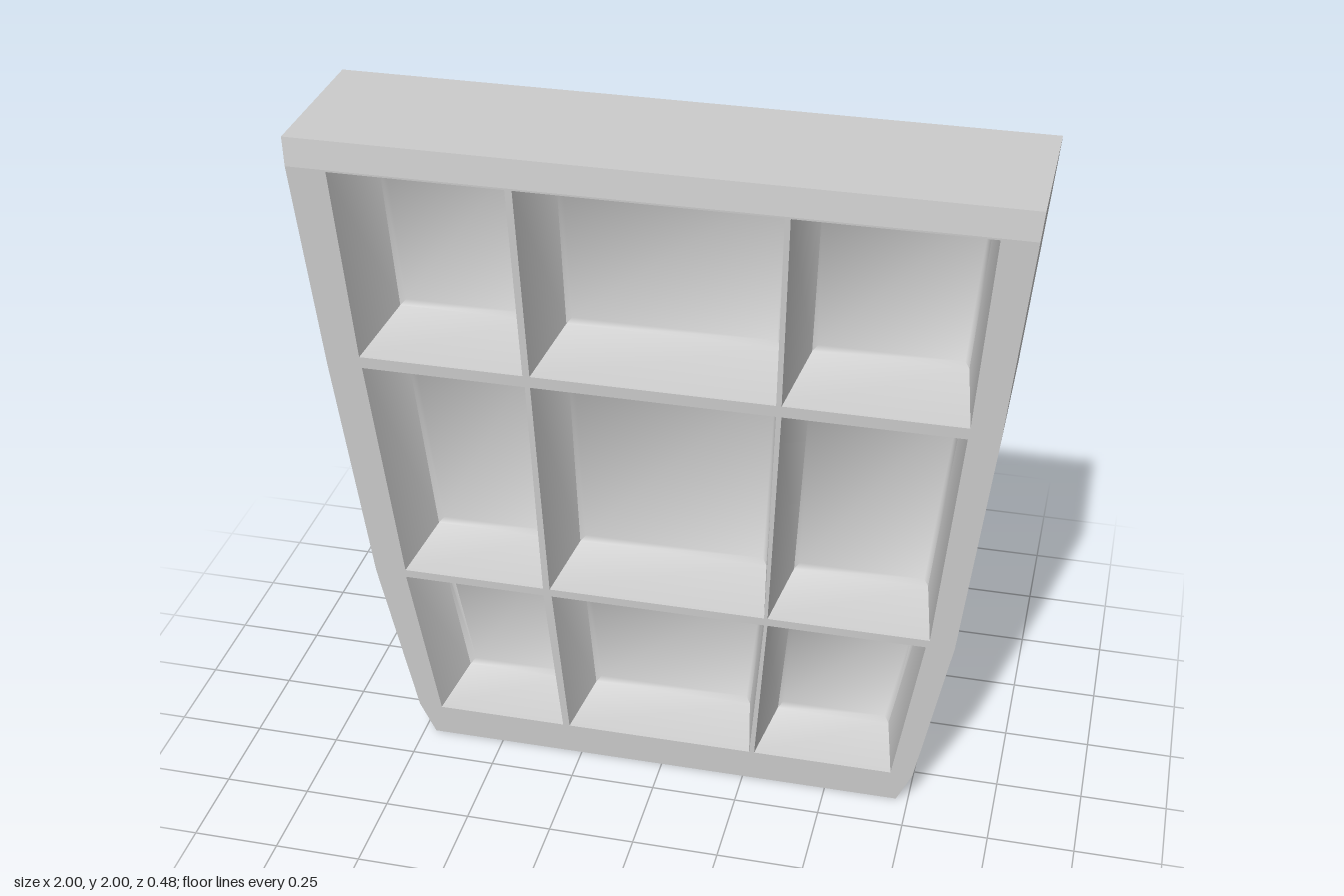
import * as THREE from 'three';
import { toCreasedNormals } from 'three/addons/utils/BufferGeometryUtils.js';

const BACK_Z = -0.24, FLOOR_Z = -0.06, BEND_Y = 1.92;

// The front face leans forward up to the bend, then back slightly.
const frontZ = (y) => y <= BEND_Y
  ? 0.135 + (0.105 * y) / BEND_Y
  : 0.24 - (0.01 * (y - BEND_Y)) / (2 - BEND_Y);

// Right half of the outline from bottom to top, mirrored for the left half.
const half = [[0.715, 0], [0.76, 0.1], [0.857, 0.6], [0.937, 1.31], [0.993, BEND_Y], [1, 2]];
const mirrored = (pts) => [...pts, ...pts.map(([x, y]) => [-x, y]).reverse()];

// Rows of compartments; x holds left/right pairs per column, along top and bottom edges.
const rows = [
  { top: 1.915, bottom: 1.345,
    topX: [-0.88, -0.39, -0.37, 0.35, 0.365, 0.895],
    bottomX: [-0.84, -0.37, -0.35, 0.335, 0.35, 0.855] },
  { top: 1.31, bottom: 0.615,
    topX: [-0.835, -0.365, -0.35, 0.335, 0.35, 0.85],
    bottomX: [-0.765, -0.345, -0.325, 0.31, 0.32, 0.785] },
  { top: 0.59, bottom: 0.1,
    topX: [-0.765, -0.345, -0.32, 0.31, 0.32, 0.775],
    bottomX: [-0.69, -0.305, -0.285, 0.27, 0.285, 0.695] },
];

const toShape = (pts) => new THREE.Shape(pts.map(([x, y]) => new THREE.Vector2(x, y)));

function quads(list) {
  const pos = [];
  for (const [a, b, c, d] of list) pos.push(...a, ...b, ...c, ...a, ...c, ...d);
  const geo = new THREE.BufferGeometry();
  geo.setAttribute('position', new THREE.Float32BufferAttribute(pos, 3));
  geo.computeVertexNormals();
  return geo;
}

// Quads joining two closed rings of equal length.
const band = (a, b) => a.map((p, i) => {
  const j = (i + 1) % a.length;
  return [p, a[j], b[j], b[i]];
});

// Flat shape bent onto the leaning front face.
function frontPanel(shape) {
  const geo = new THREE.ShapeGeometry(shape);
  const p = geo.attributes.position;
  for (let i = 0; i < p.count; i++) p.setZ(i, frontZ(p.getY(i)));
  geo.computeVertexNormals();
  return geo;
}

export function createModel() {
  const group = new THREE.Group();
  const material = new THREE.MeshStandardMaterial({ color: 0xcccccc });
  const add = (name, geo, parent = group) => {
    const mesh = new THREE.Mesh(geo, material);
    mesh.name = name;
    parent.add(mesh);
    return mesh;
  };

  // Compartment openings, corners counter-clockwise from bottom left
  const openings = rows.flatMap(({ top, bottom, topX, bottomX }) => [0, 2, 4].map((c) => [
    [bottomX[c], bottom], [bottomX[c + 1], bottom], [topX[c + 1], top], [topX[c], top],
  ]));

  // Front frame with nine openings, and the strip above the bend
  const face = toShape(mirrored(half.slice(0, 5)));
  face.holes = openings.map((o) => new THREE.Path(
    [...o].reverse().map(([x, y]) => new THREE.Vector2(x, y))));
  add('frontFrame', frontPanel(face));
  add('topStrip', frontPanel(toShape(mirrored(half.slice(4)))));

  // Outer walls and back
  const outline = mirrored(half);
  const frontRing = outline.map(([x, y]) => [x, y, frontZ(y)]);
  const backRing = outline.map(([x, y]) => [x, y, BACK_Z]);
  add('outerWalls', quads(band(backRing, frontRing)));
  const back = add('backPanel', new THREE.ShapeGeometry(toShape(outline)));
  back.rotation.y = Math.PI;
  back.position.z = BACK_Z;

  // Compartments: tapered walls, a small cove and a flat floor
  const sx = [1, -1, -1, 1], sy = [1, 1, -1, -1];
  const compartments = new THREE.Group();
  compartments.name = 'compartments';
  group.add(compartments);
  for (const o of openings) {
    const inset = (d, z) => o.map(([x, y], i) => [x + sx[i] * d, y + sy[i] * d, z]);
    const rim = o.map(([x, y]) => [x, y, frontZ(y)]);
    const low = inset(0.036, FLOOR_Z + 0.015);
    const floor = inset(0.05, FLOOR_Z);
    const geo = quads([...band(rim, low), ...band(low, floor), floor]);
    add('compartment', toCreasedNormals(geo, 1.2), compartments);
  }
  return group;
}
